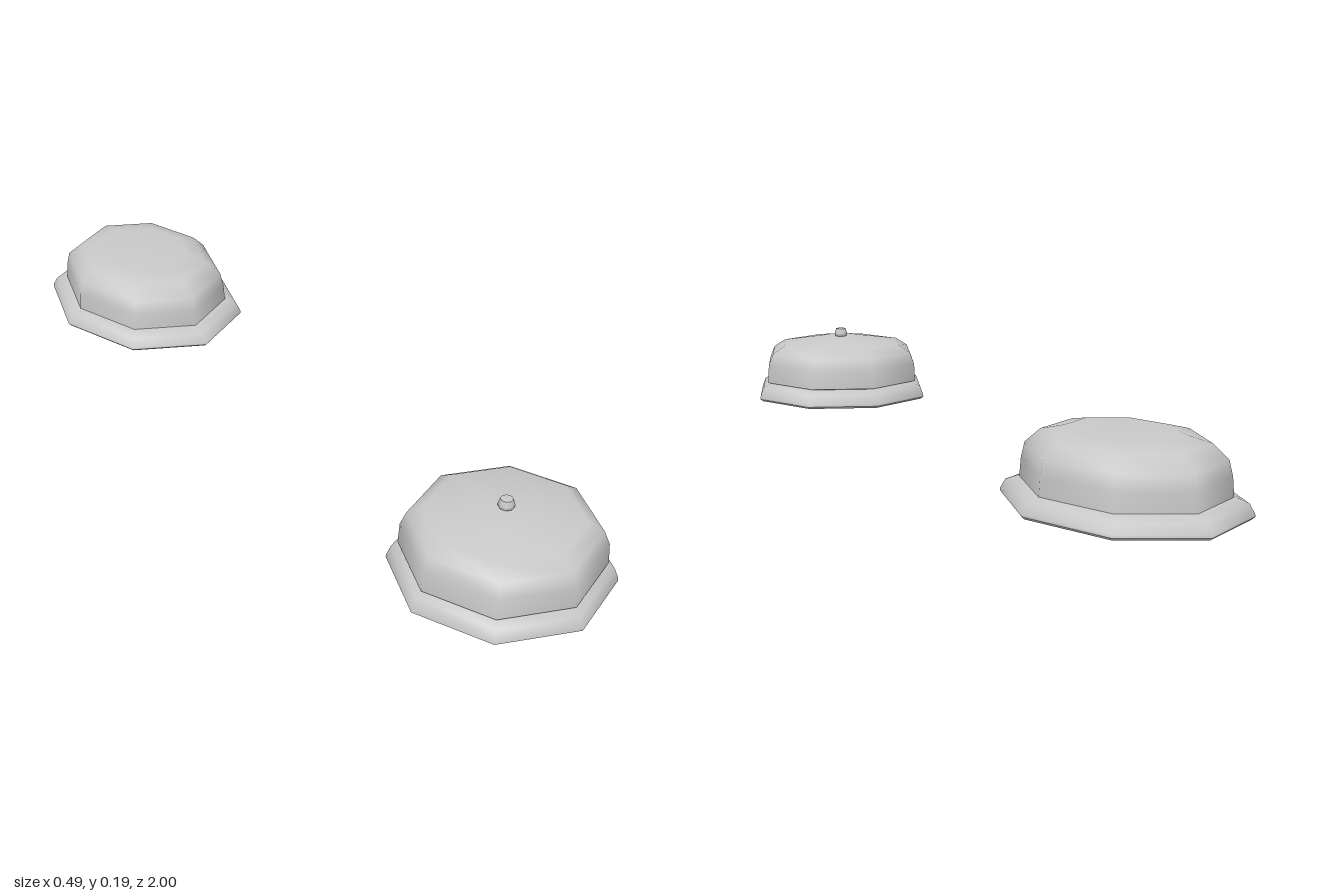
import * as THREE from 'three';

const SIDES = 8;

export function createModel() {
  const model = new THREE.Group();
  const grey = new THREE.MeshStandardMaterial({ color: 0xc8c8c8 });
  grey.name = 'light grey';

  // One turned section; separate sections keep a sharp edge between them
  function turned(parent, name, profile) {
    const points = profile.map(([r, y]) => new THREE.Vector2(r, y));
    const mesh = new THREE.Mesh(new THREE.LatheGeometry(points, SIDES), grey);
    mesh.name = name;
    parent.add(mesh);
  }

  // Round covered dish
  const round = new THREE.Group();
  round.name = 'roundDish';
  round.position.z = 0.755;
  turned(round, 'roundPlateUnderside', [[0, 0.001], [0.237, 0.002]]);
  turned(round, 'roundPlateBevel', [[0.237, 0.002], [0.245, 0.008]]);
  turned(round, 'roundPlateRim', [[0.245, 0.008], [0.244, 0.015], [0.235, 0.038], [0.212, 0.049], [0.19, 0.05]]);
  turned(round, 'roundLidLip', [[0.2, 0.047], [0.221, 0.052]]);
  turned(round, 'roundLid', [[0.221, 0.052], [0.218, 0.1], [0.205, 0.131], [0.172, 0.152], [0.06, 0.169], [0, 0.17]]);
  turned(round, 'lidKnob', [[0.013, 0.167], [0.018, 0.173], [0.018, 0.178], [0.014, 0.191]]);
  turned(round, 'lidKnobTop', [[0.014, 0.191], [0, 0.192]]);

  // Oval covered dish: turned along its length and narrowed across
  const oval = new THREE.Group();
  oval.name = 'ovalDish';
  oval.position.z = -0.695;
  oval.scale.x = 0.785;
  turned(oval, 'ovalPlateUnderside', [[0, 0.001], [0.297, 0.002]]);
  turned(oval, 'ovalPlateBevel', [[0.297, 0.002], [0.305, 0.008]]);
  turned(oval, 'ovalPlateRim', [[0.305, 0.008], [0.304, 0.014], [0.291, 0.034], [0.265, 0.043], [0.25, 0.044]]);
  turned(oval, 'ovalLid', [[0.256, 0.043], [0.252, 0.085], [0.243, 0.118], [0.204, 0.149], [0.145, 0.161], [0, 0.162]]);

  model.add(round, oval);
  return model;
}
